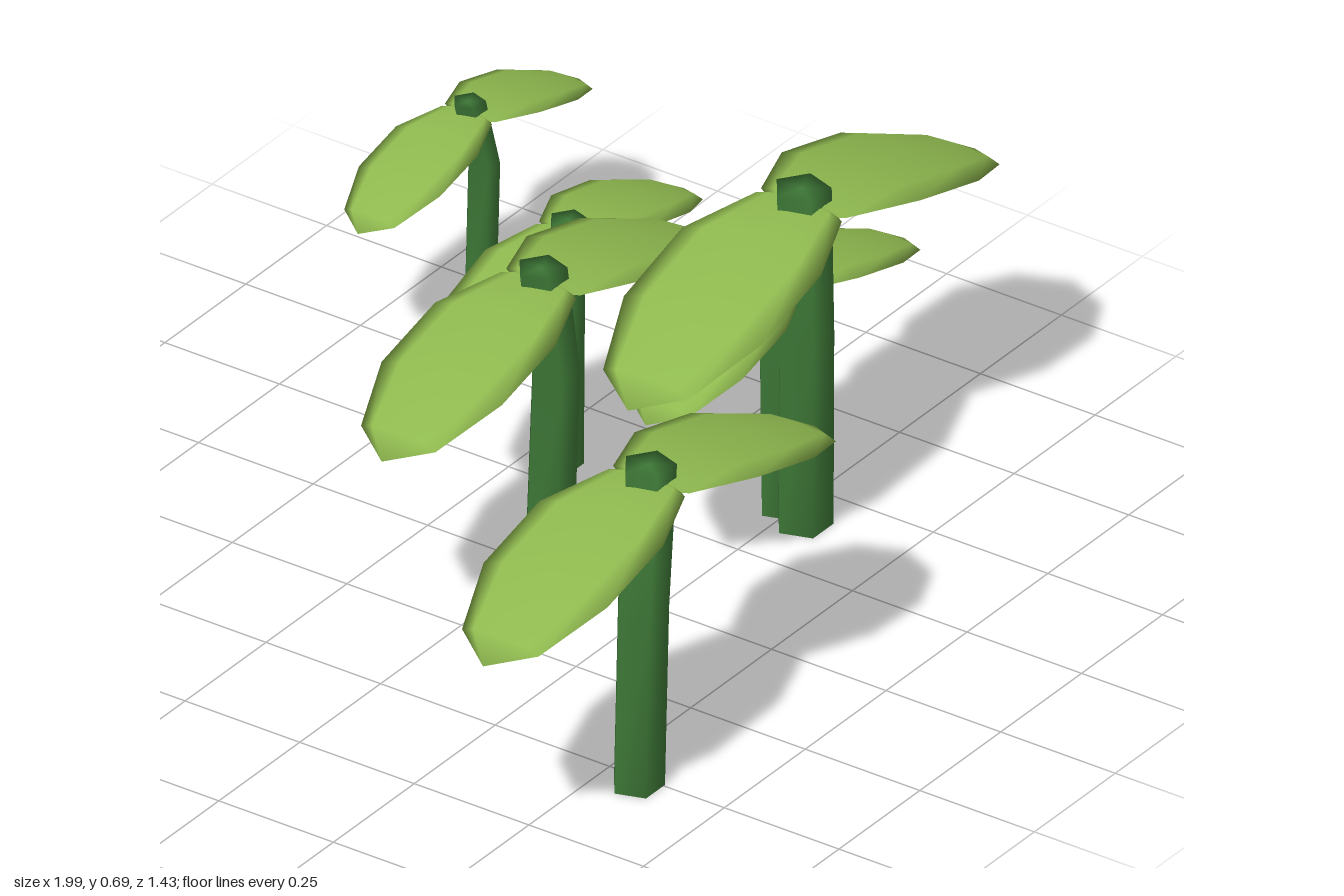
import * as THREE from 'three';
import { mergeVertices } from 'three/addons/utils/BufferGeometryUtils.js';

const stemGreen = new THREE.MeshStandardMaterial({ color: 0x3f7a38 });
stemGreen.name = 'stemGreen';
const leafGreen = new THREE.MeshStandardMaterial({ color: 0x8fb94f });
leafGreen.name = 'leafGreen';

// Move every vertex by a rule, then weld so the shading runs smoothly over the edges
function reshape(geometry, rule) {
  geometry.deleteAttribute('uv');
  geometry.deleteAttribute('normal');
  const pos = geometry.attributes.position;
  const v = new THREE.Vector3();
  for (let i = 0; i < pos.count; i++) {
    rule(v.fromBufferAttribute(pos, i));
    pos.setXYZ(i, v.x, v.y, v.z);
  }
  const welded = mergeVertices(geometry, 1e-4);
  welded.computeVertexNormals();
  return welded;
}

// Five-sided stem through a base, a bend and a top point
function stemGeometry(points, radius) {
  const g = new THREE.CylinderGeometry(radius, radius, 2, 5, 2);
  g.rotateY(Math.PI);
  return reshape(g, (v) => {
    const p = points[Math.round(v.y) + 1];
    v.set(v.x + p[0], p[1], v.z + p[2]);
  });
}

// Flattened low-poly ellipsoid that starts just behind the stem and droops to its tip
function leafGeometry(reach, halfWidth, drop) {
  const g = new THREE.SphereGeometry(1, 8, 5);
  g.rotateZ(-Math.PI / 2);
  const start = -0.09 * reach;
  return reshape(g, (v) => {
    const x = start + (v.x + 1) * 0.5 * (reach - start);
    const sag = drop * Math.pow(Math.max(0, x) / reach, 1.7);
    v.set(x, v.y * halfWidth * 0.13 - sag, v.z * halfWidth);
  });
}

// stem: base, bend, top; hub: height of the leaf pair
const sprouts = [
  { stem: [[-0.525, 0, 0.577], [-0.505, 0.36, 0.572], [-0.485, 0.645, 0.575]], radius: 0.05,
    hub: 0.61, reach: 0.513, width: 0.142, drop: 0.135, yaw: 0 },
  { stem: [[0.01, 0, 0.003], [0.042, 0.38, -0.004], [-0.008, 0.625, 0.003]], radius: 0.047,
    hub: 0.592, reach: 0.493, width: 0.138, drop: 0.13, yaw: 0 },
  { stem: [[0.39, 0, 0.294], [0.398, 0.39, 0.29], [0.39, 0.695, 0.29]], radius: 0.054,
    hub: 0.66, reach: 0.552, width: 0.157, drop: 0.155, yaw: 0.02 },
  { stem: [[0.405, 0, 0.229], [0.405, 0.3, 0.225], [0.4, 0.505, 0.225]], radius: 0.036,
    hub: 0.475, reach: 0.4, width: 0.11, drop: 0.105, yaw: 0 },
  { stem: [[0.315, 0, -0.177], [0.33, 0.35, -0.185], [0.333, 0.497, -0.178]], radius: 0.037,
    hub: 0.47, reach: 0.39, width: 0.111, drop: 0.105, yaw: 0.06 },
  { stem: [[0.693, 0, -0.627], [0.717, 0.27, -0.636], [0.66, 0.43, -0.627]], radius: 0.031,
    hub: 0.403, reach: 0.335, width: 0.094, drop: 0.088, yaw: -0.015 },
];

export function createModel() {
  const model = new THREE.Group();
  model.name = 'sprouts';
  for (const s of sprouts) {
    const sprout = new THREE.Group();
    sprout.name = 'sprout';

    const stem = new THREE.Mesh(stemGeometry(s.stem, s.radius), stemGreen);
    stem.name = 'stem';
    sprout.add(stem);

    // Pair of opposite leaves
    const top = s.stem[2];
    const leaves = new THREE.Group();
    leaves.name = 'leafPair';
    leaves.position.set(top[0], s.hub, top[2]);
    leaves.rotation.y = s.yaw;
    const geometry = leafGeometry(s.reach, s.width, s.drop);
    ['leftLeaf', 'rightLeaf'].forEach((name, i) => {
      const leaf = new THREE.Mesh(geometry, leafGreen);
      leaf.name = name;
      leaf.rotation.y = i * Math.PI;
      leaves.add(leaf);
    });
    sprout.add(leaves);
    model.add(sprout);
  }
  return model;
}
